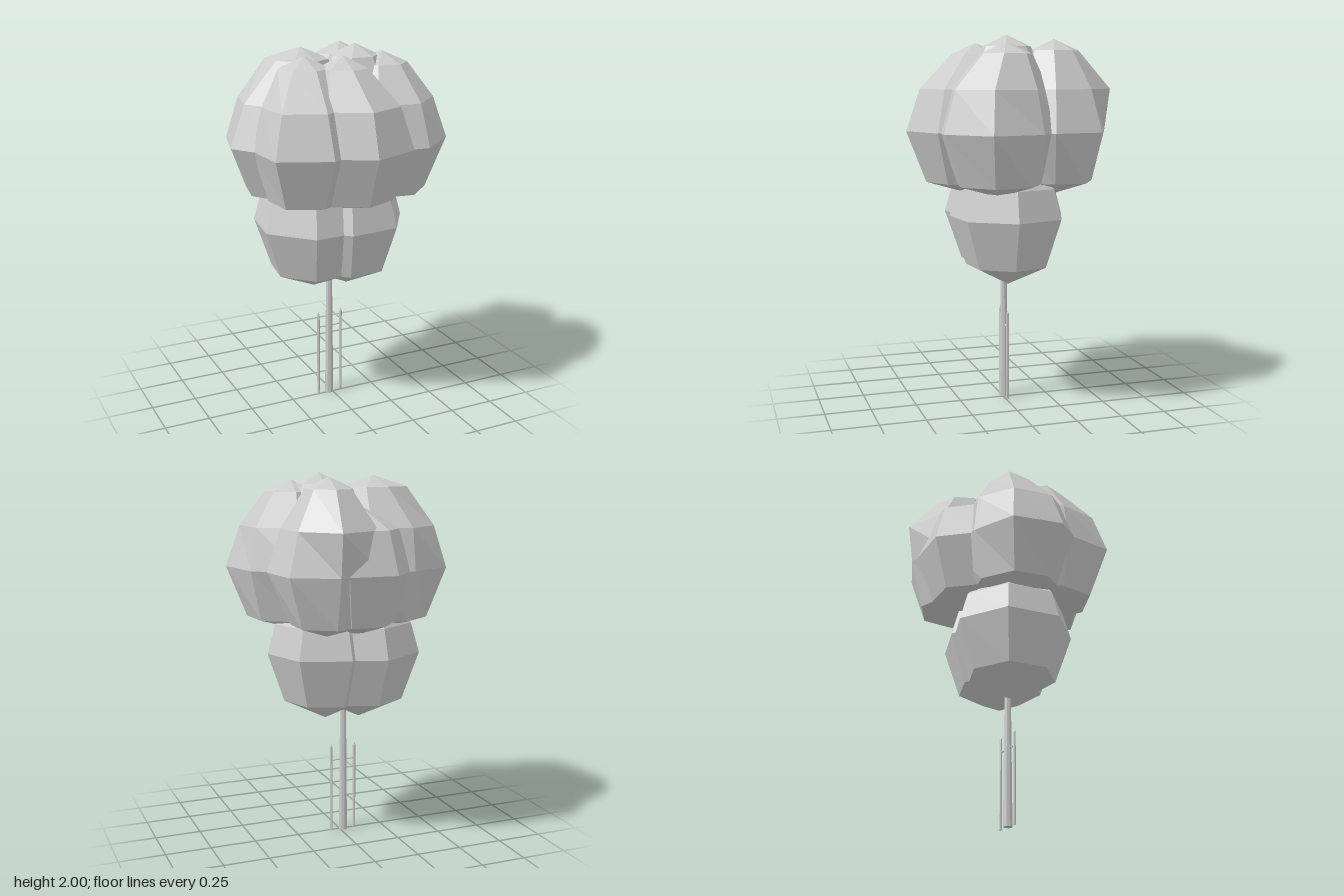
import * as THREE from 'three';

const grey = new THREE.MeshStandardMaterial({ color: 0xcccccc });
grey.name = 'plain grey';

// Hard facets for a low-poly look
function facet(geometry) {
  const g = geometry.index ? geometry.toNonIndexed() : geometry;
  g.deleteAttribute('uv');
  g.computeVertexNormals();
  return g;
}

function add(parent, name, geometry, x, y, z) {
  const mesh = new THREE.Mesh(facet(geometry), grey);
  mesh.name = name;
  mesh.position.set(x, y, z);
  parent.add(mesh);
}

// Profiles from bottom to top: [fraction of radius, height]
const upper = [[0, 1.165], [0.68, 1.23], [1, 1.5], [0.77, 1.72], [0.41, 1.9], [0, 1.96]];
const lower = [[0, 0.665], [0.72, 0.775], [1, 1.04], [0.86, 1.2], [0.4, 1.38], [0, 1.42]];

// One faceted leaf clump. turn: angle of its first rib from +z towards +x;
// top: lift of the cap; lean: shift of the cap in x and z; pull: [rib, row, scale] for single corners
function clump(parent, { name, profile, x, z, r, sides = 7, turn = 0, top = 0, lean = [0, 0], pull = [] }) {
  const rows = profile.length;
  const points = profile.map(([f, y]) => new THREE.Vector2(f * r, y));
  const geometry = new THREE.LatheGeometry(points, sides, THREE.MathUtils.degToRad(turn));
  const p = geometry.attributes.position;
  for (let i = 0; i < p.count; i++) {
    const rib = Math.floor(i / rows) % sides;
    const row = i % rows;
    const corner = pull.find((c) => c[0] === rib && c[1] === row);
    const s = corner ? corner[2] : 1;
    const cap = row >= rows - 2 ? 1 : 0;
    p.setXYZ(i, p.getX(i) * s + cap * lean[0], p.getY(i) + cap * top, p.getZ(i) * s + cap * lean[1]);
  }
  add(parent, name, geometry, x, 0, z);
}

export function createModel() {
  const tree = new THREE.Group();
  tree.name = 'stakedTree';

  // Crown of overlapping clumps
  const crown = new THREE.Group();
  crown.name = 'crown';
  tree.add(crown);
  [
    { name: 'frontClump', profile: upper, x: 0.015, z: 0.21, r: 0.325, turn: -3, lean: [-0.03, -0.06] },
    { name: 'frontRightClump', profile: upper, x: -0.225, z: 0.135, r: 0.333, turn: 3, lean: [0.025, -0.05],
      pull: [[5, 1, 0.85], [5, 2, 0.82], [5, 3, 0.85]] },
    { name: 'rightClump', profile: upper, x: -0.215, z: -0.07, r: 0.365, sides: 8, turn: -79, top: 0.025, lean: [0.06, 0],
      pull: [[6, 2, 0.84], [7, 2, 0.96], [7, 4, 1.25]] },
    { name: 'backLeftClump', profile: upper, x: 0.165, z: -0.235, r: 0.305, turn: 174, top: 0.02, lean: [-0.015, 0.005],
      pull: [[0, 3, 1.29], [0, 2, 0.9], [1, 3, 1.2], [5, 1, 0.9], [2, 4, 1.1], [0, 4, 1.1]] },
    { name: 'leftClump', profile: upper, x: 0.25, z: 0.105, r: 0.34, turn: 69.5, lean: [0, -0.04],
      pull: [[1, 2, 0.91], [6, 2, 0.97]] },
    { name: 'middleClump', profile: upper, x: 0.115, z: 0.02, r: 0.32, turn: 20, top: 0.04 },
    { name: 'backClump', profile: upper, x: 0, z: -0.24, r: 0.296, turn: -158, top: -0.12 },
    { name: 'lowerRightClump', profile: lower, x: -0.1, z: -0.035, r: 0.332, turn: -21 },
    { name: 'lowerLeftClump', profile: lower, x: 0.085, z: 0, r: 0.318, turn: 83 },
  ].forEach((c) => clump(crown, c));

  // Tapered trunk
  add(tree, 'trunk', new THREE.CylinderGeometry(0.017, 0.025, 0.8, 8), -0.018, 0.4, -0.008);

  // Support stakes with pointed tips and a crossbar
  for (const [side, x] of [['right', -0.085], ['left', 0.053]]) {
    const stake = [[0, 0], [0.008, 0], [0.008, 0.49], [0, 0.508]].map(([r, y]) => new THREE.Vector2(r, y));
    add(tree, side + 'Stake', new THREE.LatheGeometry(stake, 6), x, 0, -0.008);
  }
  const bar = new THREE.CylinderGeometry(0.004, 0.004, 0.138, 6).rotateZ(Math.PI / 2);
  add(tree, 'crossbar', bar, -0.016, 0.415, -0.008);

  return tree;
}
